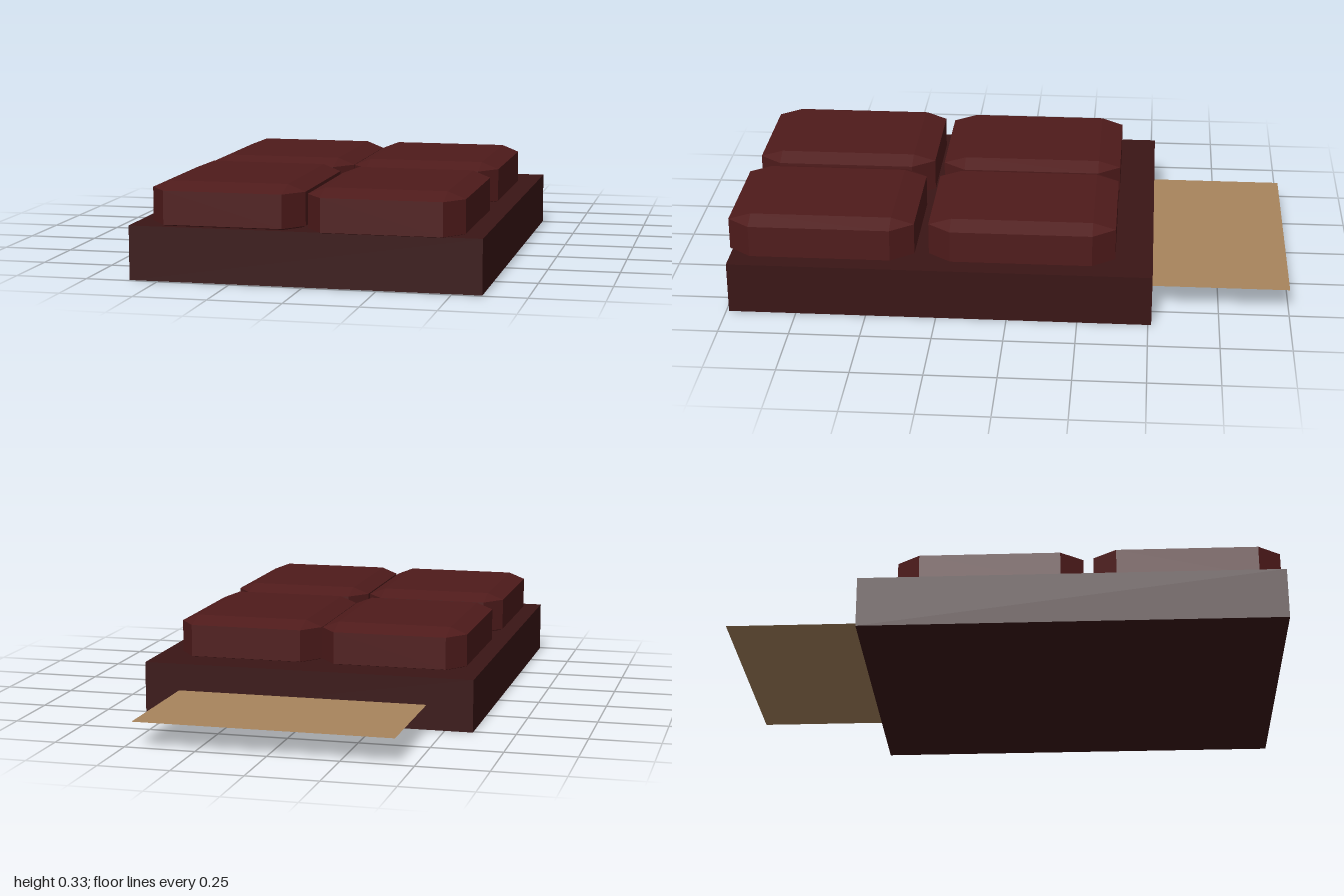
import * as THREE from 'three';
import { ConvexGeometry } from 'three/addons/geometries/ConvexGeometry.js';

const material = (color, side = THREE.FrontSide) =>
  new THREE.MeshStandardMaterial({ color, side, flatShading: true });

// Box with every edge chamfered: each corner becomes three points, one per adjoining face
function chamferedBox(w, h, d, bx, by, bz) {
  const points = [];
  for (const sx of [-1, 1]) for (const sy of [-1, 1]) for (const sz of [-1, 1]) {
    const x = w / 2, y = h / 2, z = d / 2;
    points.push(
      new THREE.Vector3(sx * x, sy * (y - by), sz * (z - bz)),
      new THREE.Vector3(sx * (x - bx), sy * y, sz * (z - bz)),
      new THREE.Vector3(sx * (x - bx), sy * (y - by), sz * z)
    );
  }
  return new ConvexGeometry(points);
}

export function createModel() {
  const model = new THREE.Group();
  model.name = 'segmentedBlock';

  // Solid slab
  const base = new THREE.Mesh(new THREE.BoxGeometry(1.2, 0.186, 1.502), material(0x3a1515));
  base.name = 'base';
  base.position.set(0, 0.093, 0.239);
  model.add(base);

  // Four chamfered segments, slightly out of line with one another
  const geometry = chamferedBox(0.531, 0.163, 0.664, 0.061, 0.024, 0.081);
  const segmentMaterial = material(0x4f1b1b);
  const segments = [
    ['frontRightSegment', -0.276, 0.249, 0.65],
    ['frontLeftSegment', 0.267, 0.245, 0.668],
    ['backRightSegment', -0.27, 0.246, -0.05],
    ['backLeftSegment', 0.263, 0.246, -0.047]
  ];
  for (const [name, x, y, z] of segments) {
    const segment = new THREE.Mesh(geometry, segmentMaterial);
    segment.name = name;
    segment.position.set(x, y, z);
    model.add(segment);
  }

  // Thin flat sheet sticking out of the back, its inner end buried in the slab
  const sheet = new THREE.Mesh(
    new THREE.PlaneGeometry(0.908, 0.52).rotateX(-Math.PI / 2),
    material(0xa8845d, THREE.DoubleSide)
  );
  sheet.name = 'sheet';
  sheet.position.set(0.019, 0.089, -0.74);
  model.add(sheet);

  return model;
}
